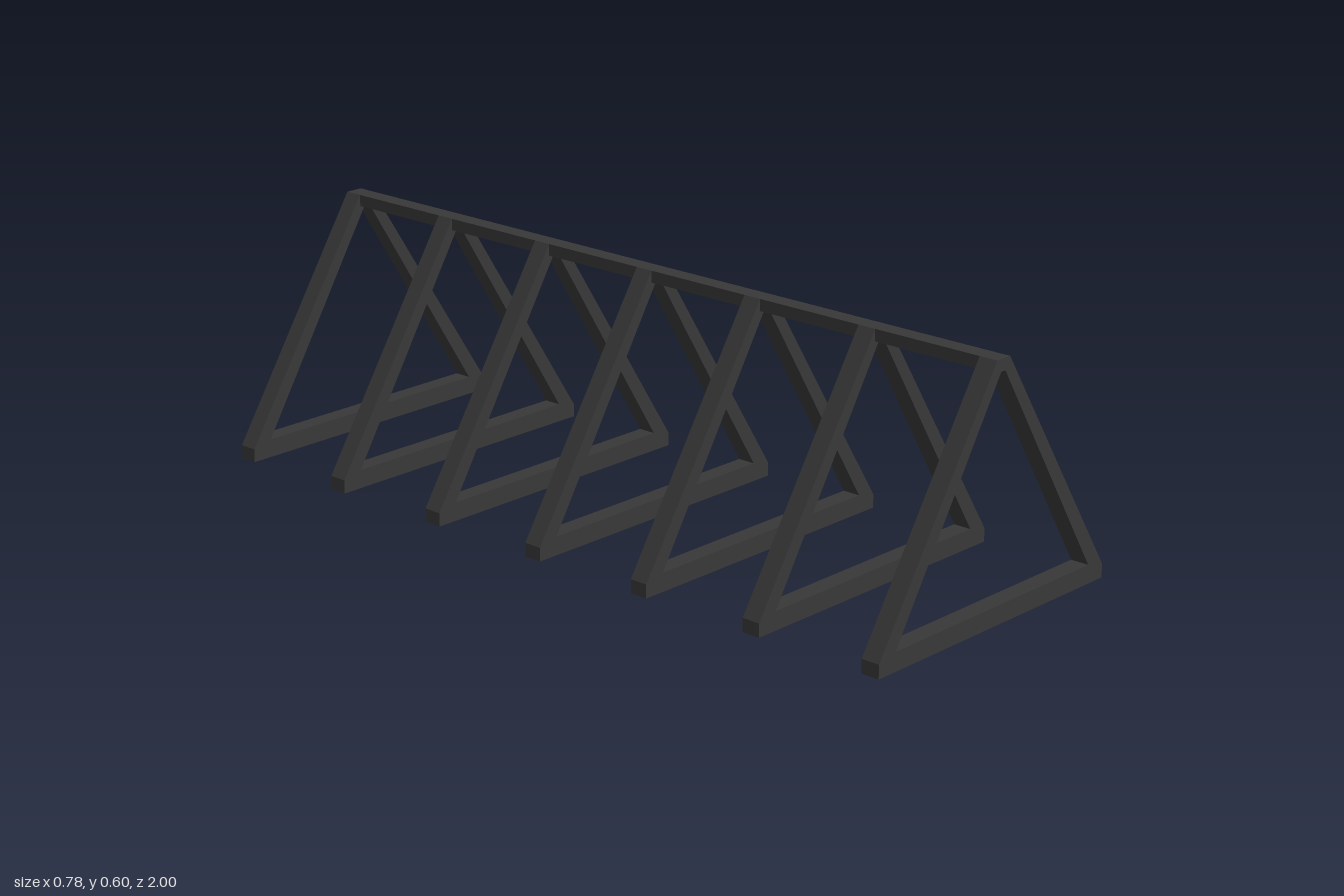
import * as THREE from 'three';

export function createModel() {
  const group = new THREE.Group();
  group.name = 'trussFrame';
  const darkSteel = new THREE.MeshStandardMaterial({ color: 0x383838 });
  darkSteel.name = 'darkSteel';

  const count = 7;
  const thickness = 0.046;
  const spacing = (2 - thickness) / (count - 1);
  const points = (list) => list.map(([x, y]) => new THREE.Vector2(x, y));

  // Triangular frame: clipped feet, flat peak, open middle
  const outline = new THREE.Shape(points([
    [-0.389, 0], [0.389, 0], [0.389, 0.033], [0.022, 0.6], [-0.022, 0.6], [-0.389, 0.033],
  ]));
  outline.holes.push(new THREE.Path(points([
    [-0.336, 0.045], [-0.007, 0.572], [0.007, 0.572], [0.336, 0.045],
  ])));
  const frameGeometry = new THREE.ExtrudeGeometry(outline, { depth: thickness, bevelEnabled: false });
  frameGeometry.translate(0, 0, -thickness / 2);

  for (let i = 0; i < count; i++) {
    const frame = new THREE.Mesh(frameGeometry, darkSteel);
    frame.name = `triangleFrame${i + 1}`;
    frame.position.z = (i - (count - 1) / 2) * spacing;
    group.add(frame);
  }

  // Ridge bars joining the peaks, one per bay
  const ridgeGeometry = new THREE.BoxGeometry(0.044, 0.028, spacing - thickness);
  for (let i = 0; i < count - 1; i++) {
    const ridge = new THREE.Mesh(ridgeGeometry, darkSteel);
    ridge.name = `ridgeBar${i + 1}`;
    ridge.position.set(0, 0.586, (i + 0.5 - (count - 1) / 2) * spacing);
    group.add(ridge);
  }
  return group;
}
